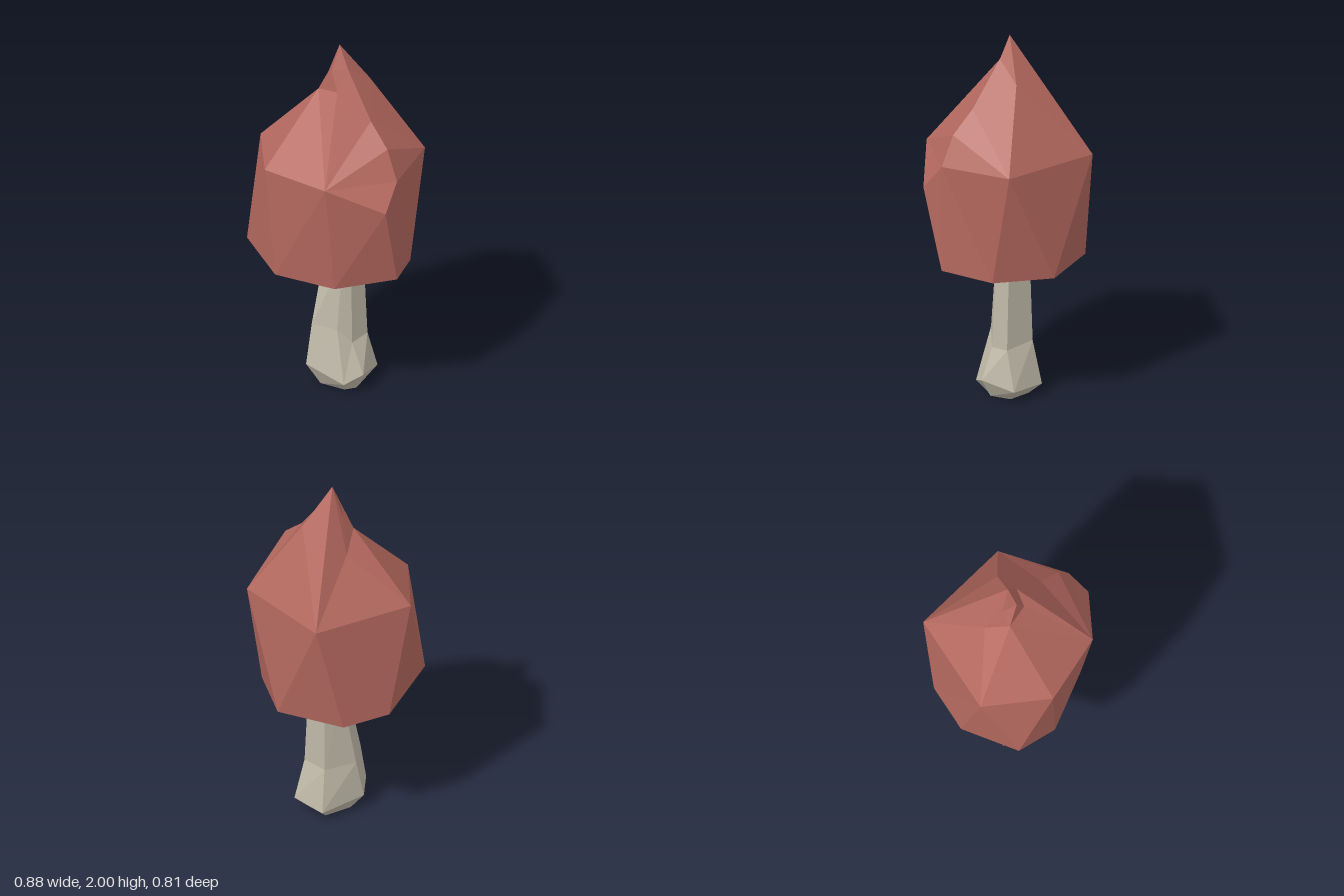
import * as THREE from 'three';

// Key points of the faceted cap
const P = {
  // peak and the notches around it
  tip: [-0.045, 2, -0.03], H: [0.02, 1.88, -0.03], G: [-0.04, 1.87, 0.03], I: [0.01, 1.76, 0.035],
  J: [-0.115, 1.74, 0.055], L: [-0.11, 1.82, -0.01], M: [-0.19, 1.655, -0.055], N: [0.025, 1.78, -0.175],
  // ridge on the +x side
  Q: [0.2, 1.645, -0.03], R: [0.33, 1.53, -0.03],
  // shoulder
  A: [-0.32, 1.37, -0.378], B: [0.232, 1.37, -0.378], K: [0.405, 1.37, -0.03],
  C: [0.44, 1.23, 0.08], D: [0.232, 1.37, 0.318], E: [-0.145, 1.37, 0.402], F: [-0.445, 1.37, 0.165],
  // rim, with two raised corners (r1 and r4)
  r1: [-0.345, 0.86, 0.348], r2: [-0.1, 0.75, 0.37], r3: [0.22, 0.75, 0.24], r4: [0.405, 0.785, -0.03],
  r5: [0.25, 0.75, -0.26], r6: [-0.045, 0.75, -0.405], r7: [-0.38, 0.75, -0.24], r8: [-0.442, 0.75, 0.02],
  // hollow under the cap
  hub: [-0.04, 1.05, -0.03],
};

const names = (s) => s.split(' ');
const strip = (s) => names(s).slice(2).map((c, i) => [names(s)[i], names(s)[i + 1], c]);
const fan = (hub, s) => names(s).slice(1).map((c, i) => [hub, names(s)[i], c]);

function facetMesh(name, positions, material) {
  const geo = new THREE.BufferGeometry();
  geo.setAttribute('position', new THREE.Float32BufferAttribute(positions, 3));
  geo.computeVertexNormals();
  const mesh = new THREE.Mesh(geo, material);
  mesh.name = name;
  return mesh;
}

// Turns each triangle so that it faces away from the centre
function outward(tris, centre) {
  const out = [];
  for (const t of tris) {
    const [a, b, c] = t.map((n) => new THREE.Vector3(...P[n]));
    const normal = b.clone().sub(a).cross(c.clone().sub(a));
    const mid = a.clone().add(b).add(c).divideScalar(3).sub(centre);
    const order = normal.dot(mid) < 0 ? [a, c, b] : [a, b, c];
    order.forEach((v) => out.push(v.x, v.y, v.z));
  }
  return out;
}

// Joins rings of equal length and closes both ends
function loft(rings) {
  const out = [];
  const n = rings[0].length;
  for (let r = 0; r < rings.length - 1; r++) {
    for (let i = 0; i < n; i++) {
      const j = (i + 1) % n;
      const lo = rings[r], up = rings[r + 1];
      out.push(...lo[i], ...lo[j], ...up[j], ...lo[i], ...up[j], ...up[i]);
    }
  }
  const first = rings[0], last = rings[rings.length - 1];
  for (let i = 1; i < n - 1; i++) {
    out.push(...first[0], ...first[i + 1], ...first[i]);
    out.push(...last[0], ...last[i], ...last[i + 1]);
  }
  return out;
}

export function createModel() {
  const group = new THREE.Group();
  group.name = 'mushroom';
  const red = new THREE.MeshStandardMaterial({ color: 0xb5695f, flatShading: true, side: THREE.DoubleSide });
  const cream = new THREE.MeshStandardMaterial({ color: 0xc9c0a0, flatShading: true, side: THREE.DoubleSide });
  const pale = new THREE.MeshStandardMaterial({ color: 0xbfb9a8, flatShading: true });

  // Cap: wall, raised rim corners, then the pointed top
  const capFaces = [
    ...strip('F r1 E r2 D r3 C r4 K r5 B r6 A r7 F r8 r1'),
    ['r8', 'r1', 'r2'], ['r3', 'r4', 'r5'],
    ...strip('A F M J L G tip H N'),
    ...strip('L M tip A N B'),
    ...strip('F E J D I H'),
    ...strip('J I G H'),
    ...fan('D', 'H Q R K C'),
    ['N', 'H', 'Q'],
    ...fan('B', 'N Q R K'),
  ];
  group.add(facetMesh('cap', outward(capFaces, new THREE.Vector3(-0.04, 1.15, -0.02)), red));

  // Underside: hollow cone rising from the rim to the stem
  const gills = fan('hub', 'r2 r3 r5 r6 r7 r8 r2').flatMap((t) => [t[0], t[2], t[1]].flatMap((n) => P[n]));
  group.add(facetMesh('capUnderside', gills, cream));

  // Stem: bulging foot, leaning middle, narrow neck
  const foot = [
    [-0.105, 0.13, 0.15], [0.1, 0.06, 0.07], [0.14, 0.1, -0.03],
    [0.06, 0.065, -0.2], [-0.14, 0.06, -0.18], [-0.18, 0.085, 0.07],
  ];
  const base = foot.map(([x, , z]) => [-0.02 + (x + 0.02) * 0.65, 0, -0.035 + (z + 0.035) * 0.6]);
  const middle = [
    [-0.11, 0.35, 0.107], [0.02, 0.35, 0.045], [0.065, 0.265, -0.02],
    [0.055, 0.28, -0.135], [-0.11, 0.3, -0.14], [-0.165, 0.3, 0.03],
  ];
  const neck = [
    [-0.11, 0.75, 0.015], [0.02, 0.75, 0.005], [0.045, 0.72, -0.03],
    [0.035, 0.75, -0.125], [-0.1, 0.75, -0.13], [-0.132, 0.75, -0.04],
  ];
  const top = neck.map(([x, , z]) => [-0.04 + (x + 0.04) * 0.8, 1.04, -0.04 + (z + 0.04) * 0.8]);
  group.add(facetMesh('stem', loft([base, foot, middle, neck, top]), pale));

  return group;
}
